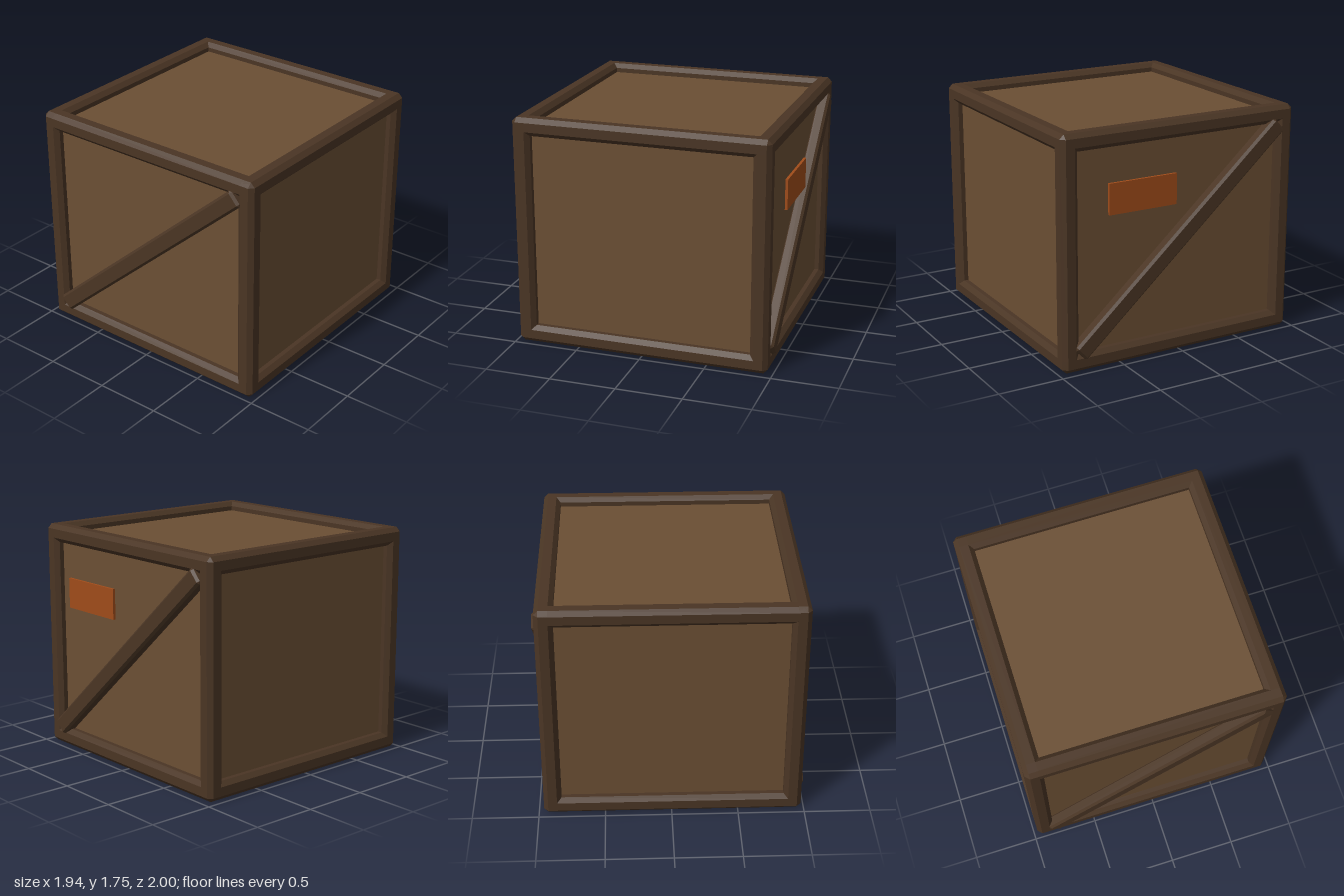
import * as THREE from 'three';
import { ConvexGeometry } from 'three/addons/geometries/ConvexGeometry.js';

const W = 1.94, H = 1.755, D = 1.94; // outer size of the frame
const BEAM = 0.134, BEVEL = 0.033, RECESS = 0.068;

// Box with every edge and corner chamfered by c
function chamferedBox(w, h, d, c) {
  const points = [];
  const [x, y, z] = [w / 2, h / 2, d / 2];
  for (const i of [-1, 1]) for (const j of [-1, 1]) for (const k of [-1, 1]) {
    points.push(
      new THREE.Vector3(i * x, j * (y - c), k * (z - c)),
      new THREE.Vector3(i * (x - c), j * y, k * (z - c)),
      new THREE.Vector3(i * (x - c), j * (y - c), k * z));
  }
  return new ConvexGeometry(points);
}

export function createModel() {
  const frameMat = new THREE.MeshStandardMaterial({ color: 0x4a3524, flatShading: true });
  const panelMat = new THREE.MeshStandardMaterial({ color: 0x6b4f34, flatShading: true });
  const labelMat = new THREE.MeshStandardMaterial({ color: 0xa04c1a, flatShading: true });

  const model = new THREE.Group();
  model.name = 'crate';
  // The label projects at the back, so the crate body sits slightly forward
  const body = new THREE.Group();
  body.name = 'crateBody';
  body.position.set(0, H / 2, 0.008);
  model.add(body);

  const add = (name, geometry, material, x = 0, y = 0, z = 0) => {
    const mesh = new THREE.Mesh(geometry, material);
    mesh.name = name;
    mesh.position.set(x, y, z);
    body.add(mesh);
    return mesh;
  };

  // Recessed panels on all six sides
  add('panels', new THREE.BoxGeometry(W - 2 * RECESS, H - 2 * RECESS, D - 2 * RECESS), panelMat);

  // Twelve bevelled frame beams, four along each axis
  const beamX = chamferedBox(W, BEAM, BEAM, BEVEL);
  const beamY = chamferedBox(BEAM, H, BEAM, BEVEL);
  const beamZ = chamferedBox(BEAM, BEAM, D, BEVEL);
  const [ox, oy, oz] = [W, H, D].map((s) => (s - BEAM) / 2);
  for (const a of [-1, 1]) for (const b of [-1, 1]) {
    add('crossBeam', beamX, frameMat, 0, a * oy, b * oz);
    add('cornerPost', beamY, frameMat, a * ox, 0, b * oz);
    add('sideBeam', beamZ, frameMat, a * ox, b * oy, 0);
  }

  // Diagonal braces, front and back
  const braceGeo = chamferedBox(2.24, 0.134, 0.1, 0.018);
  for (const [name, turn] of [['frontBrace', 0], ['backBrace', Math.PI]]) {
    const side = new THREE.Group();
    side.name = name;
    side.rotation.y = turn;
    const brace = new THREE.Mesh(braceGeo, frameMat);
    brace.name = name + 'Plank';
    brace.position.z = 0.942;
    brace.rotation.z = Math.atan2(1.47, 1.66);
    side.add(brace);
    body.add(side);
  }

  // Plain label plate on the back
  add('labelPlate', new THREE.BoxGeometry(0.55, 0.23, 0.02), labelMat, 0.345, 1.265 - H / 2, -0.998);

  return model;
}
